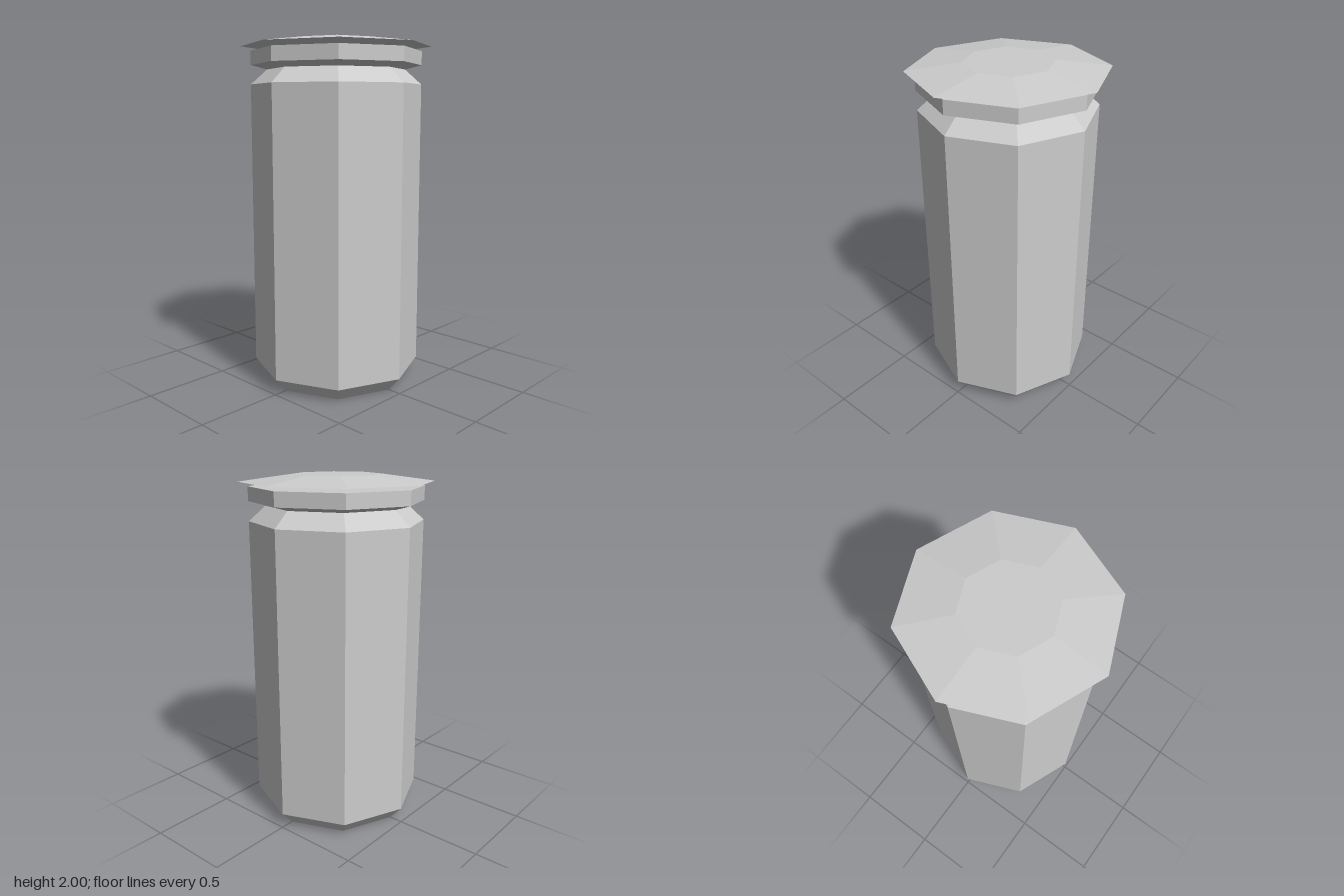
import * as THREE from 'three';

const SIDES = 8;

// Octagonal turned part with flat faces; profile is [radius, y], running bottom to top outside
function turned(name, profile, material) {
  const points = profile.map(([r, y]) => new THREE.Vector2(r, y));
  const geometry = new THREE.LatheGeometry(points, SIDES).toNonIndexed();
  geometry.computeVertexNormals();
  const mesh = new THREE.Mesh(geometry, material);
  mesh.name = name;
  return mesh;
}

export function createModel() {
  const metal = new THREE.MeshStandardMaterial({ color: 0xcccccc });
  metal.name = 'light grey metal';

  const group = new THREE.Group();
  group.name = 'can';

  // Body with recessed base, chamfers, narrow neck and flared rim
  group.add(turned('body', [
    [0, 0.05], [0.325, 0.05], [0.33, 0], [0.42, 0],
    [0.495, 0.085], [0.495, 1.745], [0.4, 1.83],
  ], metal));
  group.add(turned('rim', [
    [0.4, 1.83], [0.495, 1.855], [0.495, 1.935], [0, 1.935],
  ], metal));

  // Thin raised lid resting just above the rim
  group.add(turned('lid', [
    [0, 1.96], [0.55, 1.96], [0.25, 2], [0, 2],
  ], metal));

  return group;
}
